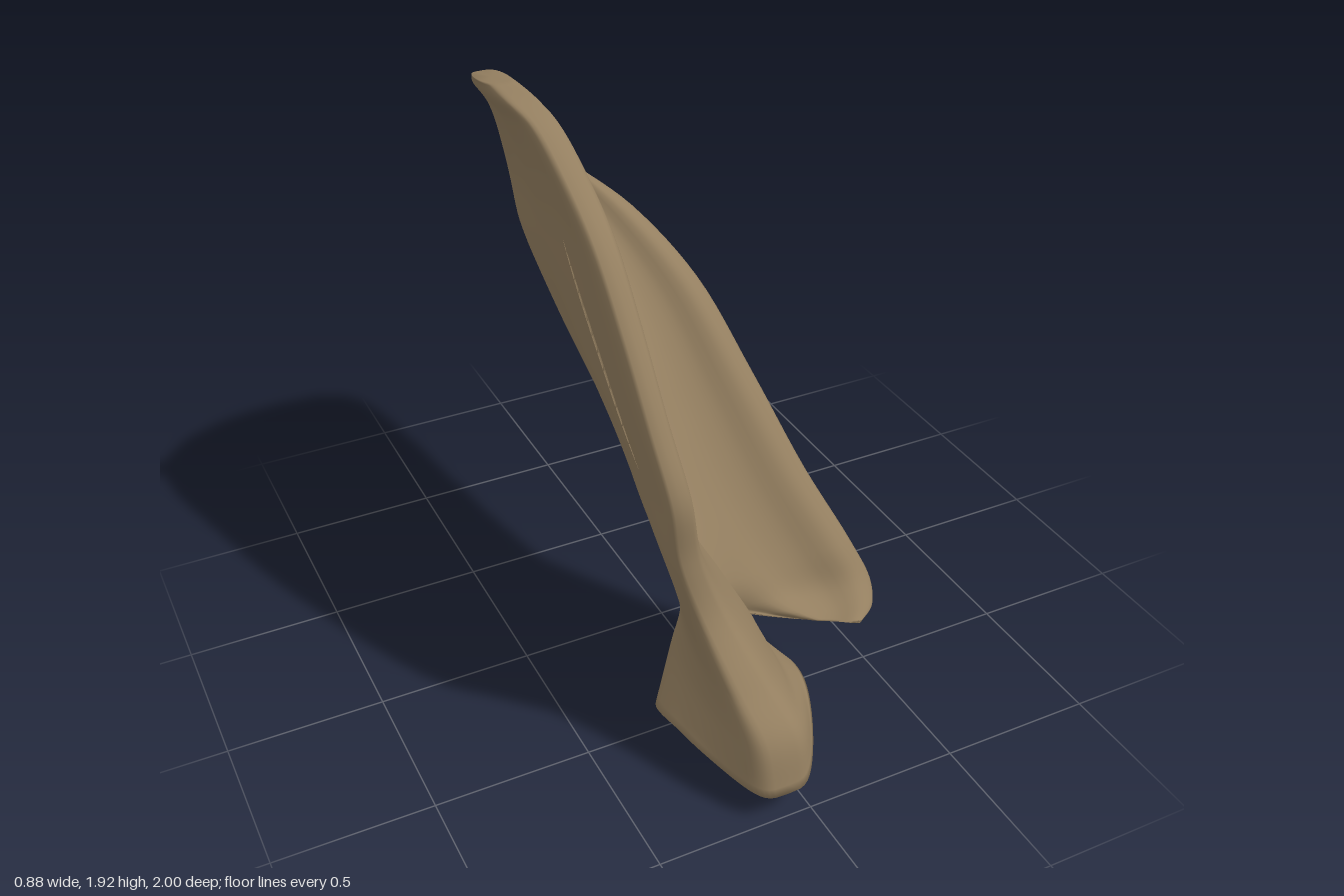
import * as THREE from 'three';

const V = (x, y, z) => new THREE.Vector3(x, y, z);
const curve = rows => new THREE.CatmullRomCurve3(rows.map(r => V(...r)));
const { smoothstep } = THREE.MathUtils;

// Skins a list of closed rings, closes both ends, and turns faces outward.
function loft(rings) {
  const n = rings[0].length, pos = [], idx = [];
  const centre = ring => ring.reduce((c, p) => c.add(p), V(0, 0, 0)).divideScalar(n);
  const pts = [...rings.flat(), centre(rings[0]), centre(rings[rings.length - 1])];
  pts.forEach(p => pos.push(p.x, p.y, p.z));
  const last = (rings.length - 1) * n, c0 = last + n, c1 = c0 + 1;
  for (let j = 0; j < n; j++) {
    const k = (j + 1) % n;
    for (let i = 0; i < rings.length - 1; i++) {
      const a = i * n + j, b = i * n + k;
      idx.push(a, b, a + n, b, b + n, a + n);
    }
    idx.push(c0, k, j, c1, last + j, last + k);
  }
  let volume = 0;
  for (let i = 0; i < idx.length; i += 3) {
    volume += pts[idx[i]].dot(V(0, 0, 0).crossVectors(pts[idx[i + 1]], pts[idx[i + 2]]));
  }
  if (volume < 0) idx.reverse();
  const geo = new THREE.BufferGeometry();
  geo.setAttribute('position', new THREE.Float32BufferAttribute(pos, 3));
  geo.setIndex(idx);
  geo.computeVertexNormals();
  return geo;
}

// Broad fan-shaped blade, from the joint socket up to the rounded top border.
function bladeGeometry() {
  const front = curve([
    [-0.08, 0.09, 1.0], [-0.09, 0.26, 0.96], [-0.13, 0.39, 0.85], [-0.19, 0.58, 0.72],
    [-0.25, 0.78, 0.69], [-0.285, 1.0, 0.7], [-0.31, 1.2, 0.62], [-0.325, 1.44, 0.48],
    [-0.335, 1.64, 0.33], [-0.345, 1.77, 0.17], [-0.36, 1.87, 0.01], [-0.38, 1.905, -0.1], [-0.395, 1.92, -0.23]]);
  const back = curve([
    [-0.03, 0.0, 0.36], [0.0, 0.13, 0.265], [0.02, 0.28, 0.24], [0.015, 0.43, 0.15],
    [0.0, 0.57, -0.05], [-0.01, 0.73, -0.35], [-0.01, 0.91, -0.73], [-0.01, 1.1, -0.98],
    [-0.025, 1.25, -1.0], [-0.075, 1.41, -0.93], [-0.175, 1.63, -0.77], [-0.3, 1.79, -0.59], [-0.4, 1.9, -0.39]]);
  // Half thickness at the front border, the middle and the back border
  const thick = curve([
    [0.13, 0.2, 0.27], [0.13, 0.155, 0.17], [0.11, 0.115, 0.11], [0.085, 0.085, 0.085],
    [0.08, 0.055, 0.08], [0.08, 0.035, 0.09], [0.08, 0.03, 0.11], [0.085, 0.03, 0.14],
    [0.09, 0.03, 0.145], [0.09, 0.03, 0.14], [0.085, 0.04, 0.125], [0.075, 0.055, 0.1], [0.04, 0.045, 0.045]]);
  const rings = [], steps = 72, n = 64;
  for (let i = 0; i <= steps; i++) {
    const t = i / steps, f = front.getPoint(t), b = back.getPoint(t), h = thick.getPoint(t);
    const arch = Math.max(0, 1 - t * 9), rimPower = 1.2 + 2.8 * smoothstep(t, 0, 0.3);
    const bow = 0.04 * smoothstep(t, 0.2, 0.45) * (1 - smoothstep(t, 0.8, 1));
    rings.push(Array.from({ length: n }, (_, j) => {
      const a = j / n * Math.PI * 2, s = Math.sin(a), c = Math.cos(a);
      const p = f.clone().lerp(b, 0.5 - 0.5 * c);
      const half = h.y + ((c > 0 ? h.x : h.z) - h.y) * Math.abs(c) ** rimPower;
      p.x += Math.sign(s) * Math.abs(s) ** 0.5 * half - bow * s * s;
      p.y += arch * Math.abs(s) ** 2.2 * (s > 0 ? 0.17 : 0.07);
      return p;
    }));
  }
  // Hollow joint socket
  const rim = rings[0];
  const mid = rim.reduce((c, p) => c.add(p), V(0, 0, 0)).divideScalar(n);
  for (const [shrink, rise] of [[0.08, 0.0], [0.2, 0.03], [0.45, 0.06], [0.75, 0.08]]) {
    rings.unshift(rim.map(p => p.clone().lerp(mid, shrink).add(V(0, rise, 0))));
  }
  return loft(rings);
}

// Raised ridge leaning forward off the blade, ending in a free overhanging tip.
function ridgeGeometry() {
  const base = curve([
    [-0.27, 1.64, -0.42], [-0.235, 1.54, -0.36], [-0.21, 1.33, -0.2], [-0.195, 1.13, -0.04],
    [-0.175, 0.86, 0.15], [-0.13, 0.6, 0.32], [-0.07, 0.44, 0.42], [-0.01, 0.38, 0.47],
    [0.08, 0.365, 0.53], [0.18, 0.365, 0.61]]);
  const edge = curve([
    [-0.23, 1.65, -0.42], [-0.14, 1.57, -0.36], [-0.01, 1.46, -0.2], [0.11, 1.28, 0.0],
    [0.2, 1.02, 0.2], [0.29, 0.75, 0.38], [0.385, 0.53, 0.52], [0.425, 0.415, 0.585],
    [0.395, 0.375, 0.655], [0.32, 0.375, 0.715]]);
  const width = curve([0.3, 0.7, 0.9, 1, 1, 0.95, 1, 1.05, 0.9, 0.3].map(k => [k, 0, 0]));
  // Section: flared root, thin web, thicker free edge
  const section = curve([
    [0.28, -0.05, 0], [0.14, 0.13, 0], [0.06, 0.4, 0], [0.035, 0.65, 0], [0.045, 0.9, 0], [0, 1.03, 0],
    [-0.045, 0.92, 0], [-0.03, 0.6, 0], [-0.05, 0.3, 0], [-0.1, 0.1, 0], [-0.2, -0.08, 0]]).getPoints(40);
  const along = V(0, 0.82, -0.57), rings = [], steps = 54;
  for (let i = 0; i <= steps; i++) {
    const t = i / steps, b = base.getPoint(t), h = edge.getPoint(t).sub(b), k = width.getPoint(t).x;
    const w = V(0, 0, 0).crossVectors(h, along).normalize();
    rings.push(section.map(q => {
      // The root flare fades where the tip comes free of the blade
      const flare = 1 - 0.8 * smoothstep(t, 0.5, 0.85) * (1 - smoothstep(q.y, 0, 0.4));
      return b.clone().addScaledVector(w, q.x * k * flare).addScaledVector(h, q.y);
    }));
  }
  return loft(rings);
}

export function createModel() {
  const bone = new THREE.MeshStandardMaterial({ color: 0x947f60 });
  bone.name = 'bone';
  const group = new THREE.Group();
  group.name = 'shoulderBlade';
  const parts = { blade: bladeGeometry(), ridge: ridgeGeometry() };
  for (const [name, geometry] of Object.entries(parts)) {
    const mesh = new THREE.Mesh(geometry, bone);
    mesh.name = name;
    group.add(mesh);
  }
  return group;
}
